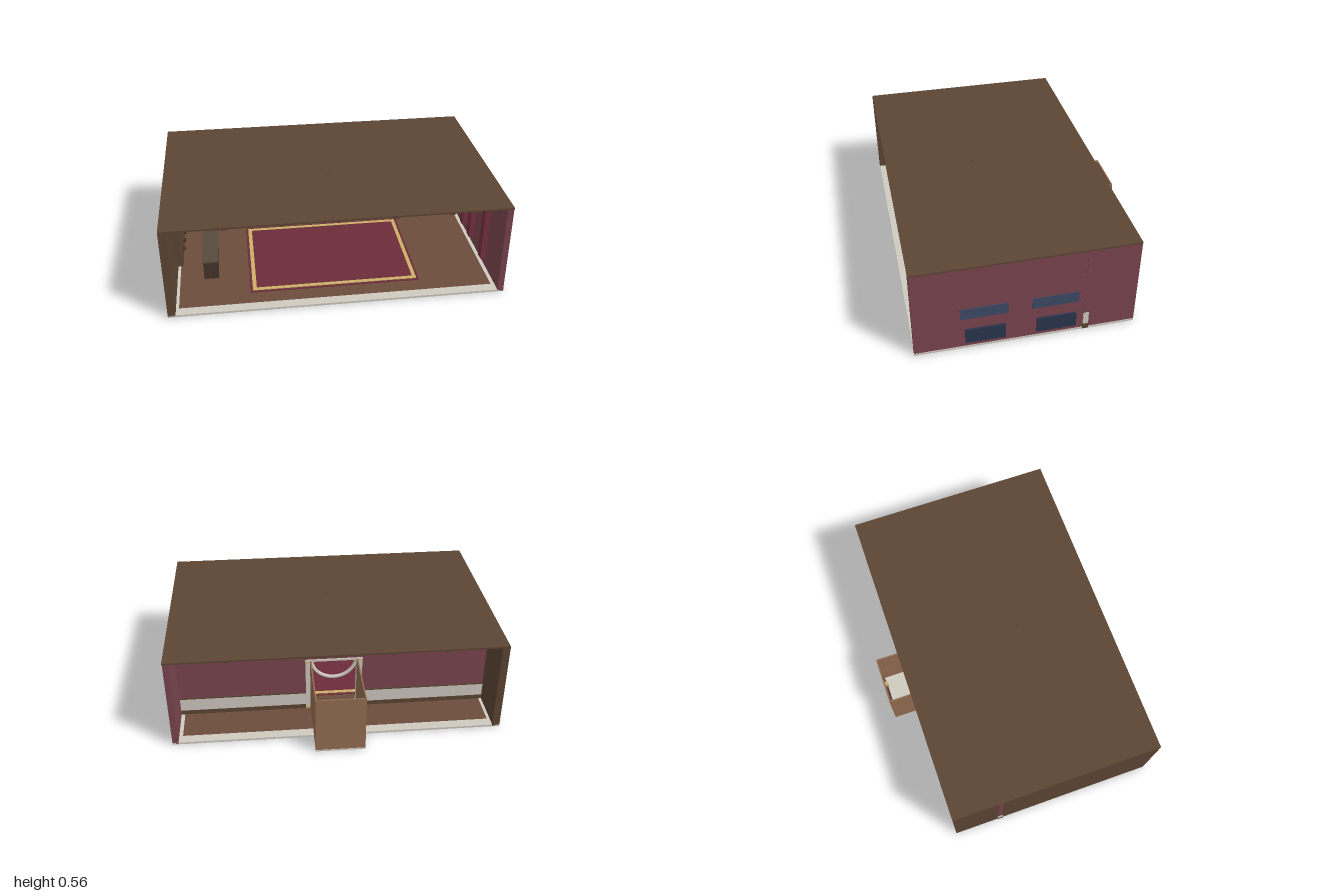
import * as THREE from 'three';

const mat = (color) => new THREE.MeshStandardMaterial({ color, side: THREE.DoubleSide });
const M = {
  crimson: mat(0x7a444e), rug: mat(0x6b2c38), brown: mat(0x5c4533), dark: mat(0x45352a),
  floor: mat(0x6d4d3b), tan: mat(0x936c52), cream: mat(0xcfcac0), gold: mat(0xcdb068),
  navy: mat(0x2b344e), blue: mat(0x3c4866), counter: mat(0x57493c),
  amberPanel: mat(0x8d7a5a), greyPanel: mat(0x7d6a70), curtain: mat(0x742f42),
};
const CX = -0.037;                       // middle of the room

export function createModel() {
  const g = new THREE.Group();
  g.name = 'lounge';

  const add = (name, geo, m, x = 0, y = 0, z = 0) => {
    const mesh = new THREE.Mesh(geo, m);
    mesh.name = name;
    mesh.position.set(x, y, z);
    g.add(mesh);
    return mesh;
  };
  // box given by its limits
  const box = (name, m, x0, x1, y0, y1, z0, z1) =>
    add(name, new THREE.BoxGeometry(x1 - x0, y1 - y0, z1 - z0), m,
      (x0 + x1) / 2, (y0 + y1) / 2, (z0 + z1) / 2);
  const rod = (name, m, r, h, x, y, z, sides = 12) =>
    add(name, new THREE.CylinderGeometry(r, r, h, sides), m, x, y, z);

  // rectangle outline, optionally with a rectangular hole, extruded by depth
  const rect = (P, x0, x1, y0, y1) => {
    const p = new P();
    p.moveTo(x0, y0); p.lineTo(x1, y0); p.lineTo(x1, y1); p.lineTo(x0, y1); p.closePath();
    return p;
  };
  const frame = (outer, inner, depth) => {
    const s = rect(THREE.Shape, ...outer);
    s.holes.push(rect(THREE.Path, ...inner));
    return new THREE.ExtrudeGeometry(s, { depth, bevelEnabled: false });
  };

  // floor with a pale border
  box('floor', M.floor, -0.94, 0.865, 0.001, 0.011, -0.49, 0.625);
  add('floorBorder', frame([-1, 0.925, -0.685, 0.55], [-0.94, 0.865, -0.625, 0.49], 0.012), M.cream)
    .rotation.x = -Math.PI / 2;
  box('floorUnderside', M.dark, -0.94, 0.865, 0, 0.001, -0.49, 0.625);

  // side walls
  box('darkSideWall', M.brown, -1, -0.957, 0.003, 0.55, -0.55, 0.685);
  box('crimsonSideWall', M.crimson, 0.887, 0.922, 0.003, 0.55, -0.55, 0.685);

  // roof and the beams under it
  box('roof', M.brown, -1, 0.925, 0.55, 0.56, -0.55, 0.685);
  for (let i = -2; i <= 2; i++) {
    const x = CX + i * 0.308;
    box('ceilingBeam', M.brown, x - 0.014, x + 0.014, 0.54, 0.551, -0.545, 0.68);
  }
  for (let i = 0; i < 5; i++) {
    const z = 0.52 - i * 0.24;
    box('crossBeam', M.brown, -0.957, 0.887, 0.544, 0.551, z - 0.012, z + 0.012);
  }

  // partition with a doorway
  const wall = rect(THREE.Shape, -1.002, 0.925, 0.005, 0.551);
  wall.holes.push(rect(THREE.Path, CX - 0.137, CX + 0.137, 0.01, 0.345));
  add('backWall', new THREE.ExtrudeGeometry(wall, { depth: 0.023, bevelEnabled: false }),
    M.crimson, 0, 0, -0.279);

  // wainscot, skirting and rail on either side of the doorway
  for (const [x0, x1] of [[-1.004, CX - 0.14], [CX + 0.14, 0.928]]) {
    box('wainscot', M.cream, x0, x1, 0.038, 0.122, -0.282, -0.252);
    box('skirting', M.brown, x0, x1, 0.003, 0.039, -0.284, -0.249);
    box('chairRail', M.brown, x0, x1, 0.12, 0.128, -0.284, -0.249);
  }

  // open-topped vestibule behind the doorway
  const [vx0, vx1, vz0, vz1] = [-0.18, 0.105, -0.685, -0.279];
  box('vestibuleFloor', M.cream, vx0, vx1, 0, 0.008, vz0, vz1);
  box('vestibuleBack', M.tan, vx0, vx1, 0.01, 0.355, vz0, vz0 + 0.008);
  box('vestibuleSide', M.tan, vx0, vx0 + 0.008, 0.01, 0.355, vz0, vz1);
  box('vestibuleSide', M.tan, vx1 - 0.008, vx1, 0.01, 0.355, vz0, vz1);
  box('innerDoor', M.brown, CX - 0.062, CX + 0.062, 0.03, 0.25, -0.678, -0.67);
  box('doorLamp', M.gold, CX - 0.01, CX + 0.01, 0.258, 0.295, -0.677, -0.66);

  // portal: posts with gold trims, lintel and ring
  for (const s of [-1, 1]) {
    const x = CX + s * 0.152;
    box('portalPost', M.cream, x - 0.017, x + 0.017, 0.012, 0.35, -0.286, -0.235);
    box('postBase', M.gold, x - 0.02, x + 0.02, 0.018, 0.028, -0.288, -0.232);
    box('postCap', M.gold, x - 0.02, x + 0.02, 0.342, 0.35, -0.288, -0.232);
  }
  box('lintel', M.cream, CX - 0.172, CX + 0.172, 0.347, 0.36, -0.286, -0.233);
  add('portalRing', new THREE.TorusGeometry(0.135, 0.011, 8, 40), M.cream, CX, 0.355, -0.262);

  // wall panels, sconces and clock
  box('amberPanel', M.amberPanel, -0.523, -0.323, 0.148, 0.35, -0.257, -0.248);
  box('greyPanel', M.greyPanel, 0.249, 0.449, 0.148, 0.35, -0.257, -0.248);
  for (const x of [-0.56, -0.3, 0.226, 0.486]) {
    box('sconceArm', M.brown, x - 0.004, x + 0.004, 0.255, 0.27, -0.257, -0.235);
    rod('sconceLamp', M.gold, 0.006, 0.03, x, 0.277, -0.238);
  }
  box('clockCase', M.brown, -0.737, -0.688, 0.275, 0.362, -0.257, -0.235);
  add('clockFace', new THREE.CylinderGeometry(0.019, 0.019, 0.006, 24), M.gold, -0.712, 0.32, -0.233)
    .rotation.x = Math.PI / 2;
  rod('goldPost', M.gold, 0.003, 0.125, 0.57, 0.07, -0.243);

  // counter and the panel behind it
  box('counter', M.dark, -0.8, -0.713, 0.011, 0.125, -0.17, 0.36);
  box('counterTop', M.counter, -0.805, -0.708, 0.123, 0.132, -0.175, 0.365);
  box('backPanel', M.brown, -0.957, -0.912, 0.12, 0.36, -0.17, 0.37);
  for (let i = 0; i < 5; i++)
    add('panelKnob', new THREE.SphereGeometry(0.012, 10, 8), M.dark, -0.905, 0.18, 0.27 - i * 0.09);

  // rug with a gold band
  box('rugEdge', M.rug, -0.535, 0.46, 0.01, 0.014, -0.165, 0.53);
  box('rugField', M.rug, -0.497, 0.423, 0.01, 0.017, -0.127, 0.492);
  add('rugBand', frame([-0.52, 0.445, -0.515, 0.15], [-0.497, 0.423, -0.492, 0.127], 0.006),
    M.gold, 0, 0.012, 0).rotation.x = -Math.PI / 2;

  // windows on the crimson side, with curtains indoors
  for (const z of [0.3, -0.09]) {
    box('lowerWindow', M.navy, 0.946, 0.957, 0.066, 0.16, z - 0.11, z + 0.11);
    box('upperWindow', M.blue, 0.915, 0.926, 0.21, 0.28, z - 0.13, z + 0.13);
    for (const s of [-1, 1])
      box('curtain', M.curtain, 0.852, 0.885, 0.07, 0.41, z + s * 0.12 - 0.025, z + s * 0.12 + 0.025);
    box('curtainRail', M.brown, 0.865, 0.888, 0.41, 0.42, z - 0.15, z + 0.15);
  }

  // chandelier
  const cz = 0.17;
  rod('chandelierCord', M.dark, 0.003, 0.145, CX, 0.492, cz, 8);
  rod('chandelierShade', M.gold, 0.044, 0.08, CX, 0.463, cz, 20);
  add('chandelierRing', new THREE.TorusGeometry(0.083, 0.004, 6, 32), M.dark, CX, 0.419, cz)
    .rotation.x = Math.PI / 2;
  for (let i = 0; i < 6; i++) {
    const a = (i * Math.PI) / 3;
    rod('chandelierCandle', M.cream, 0.004, 0.02,
      CX + 0.083 * Math.cos(a), 0.432, cz + 0.083 * Math.sin(a), 8);
  }
  return g;
}
